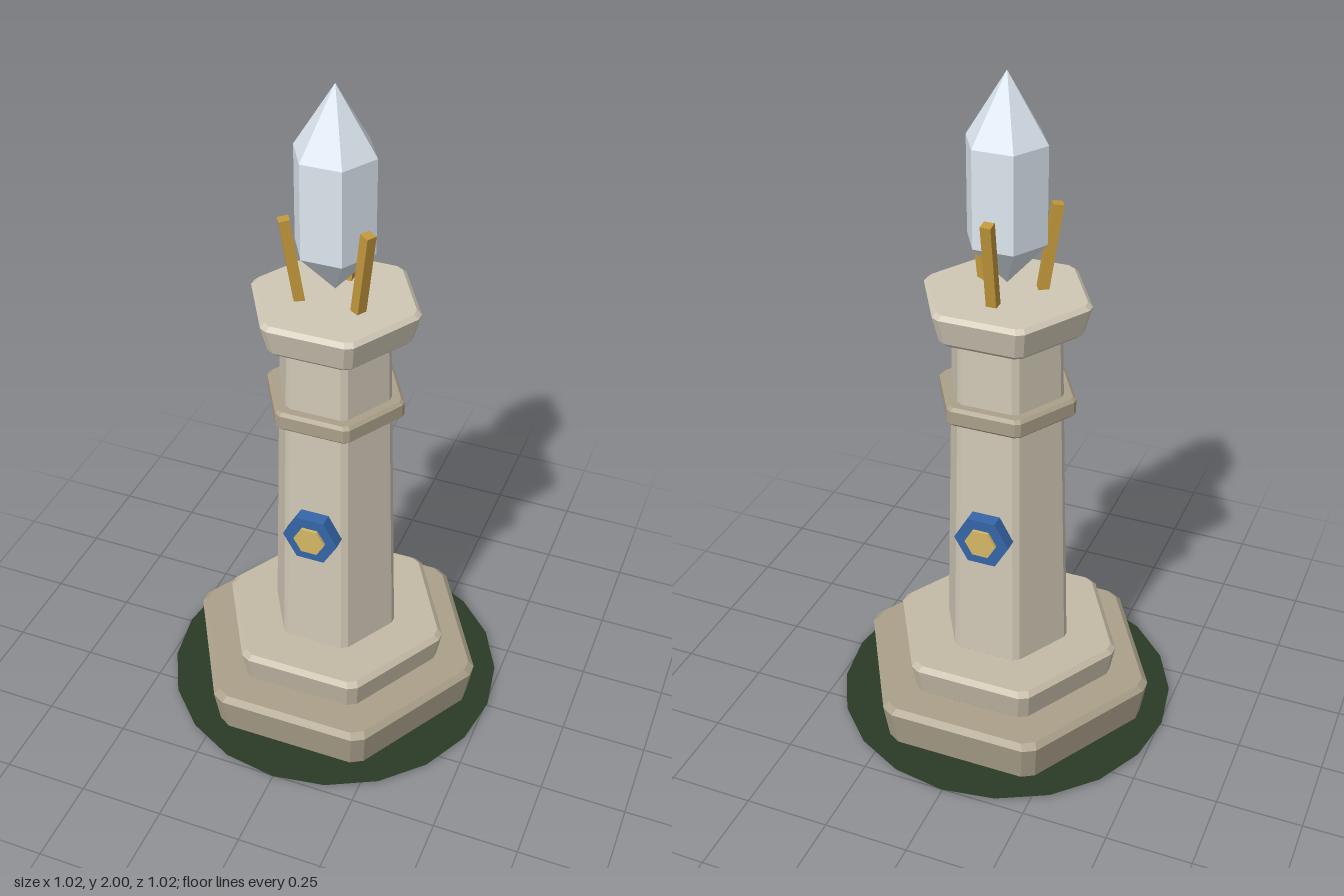
import * as THREE from 'three';

const mat = (color, extra = {}) => new THREE.MeshStandardMaterial({ color, flatShading: true, ...extra });
const paleStone = mat(0xd0c7b5);
const stone = mat(0xc3b9a5);
const darkStone = mat(0xaaa08a);
const gold = mat(0xc2983c);
const paleGold = mat(0xd6b865);
const blue = mat(0x3566a8);
const crystalMat = mat(0xdde6f0);
const grass = mat(0x2a3b25, { side: THREE.DoubleSide });

// Hexagon with clipped corners: a = distance to a flat, cut = depth of the corner clip
function hexRing(a, cut, y) {
  const half = a / Math.sqrt(3) - 2 * cut;
  const ring = [];
  for (let i = 0; i < 6; i++) {
    const t = Math.PI / 6 + (i * Math.PI) / 3;
    const nx = Math.cos(t), nz = Math.sin(t);
    for (const s of [-half, half]) ring.push([a * nx - s * nz, y, a * nz + s * nx]);
  }
  return ring;
}

// Closed solid through clipped hexagons; levels are [y, distance to flat]
function hexBlock(levels, cut) {
  const rings = levels.map(([y, a]) => hexRing(a, cut, y));
  const n = rings[0].length, pos = [];
  const tri = (...pts) => pts.forEach((p) => pos.push(...p));
  for (let k = 0; k < rings.length - 1; k++) {
    for (let i = 0; i < n; i++) {
      const j = (i + 1) % n, lo = rings[k], hi = rings[k + 1];
      tri(lo[i], hi[i], hi[j]);
      tri(lo[i], hi[j], lo[j]);
    }
  }
  const bottom = rings[0], top = rings[rings.length - 1];
  for (let i = 1; i < n - 1; i++) {
    tri(bottom[0], bottom[i], bottom[i + 1]);
    tri(top[0], top[i + 1], top[i]);
  }
  const g = new THREE.BufferGeometry();
  g.setAttribute('position', new THREE.Float32BufferAttribute(pos, 3));
  g.computeVertexNormals();
  return g;
}

// Block with bevelled top and bottom rims
const bevelled = (y0, y1, a0, a1, b, cut) =>
  hexBlock([[y0, a0 - b], [y0 + b, a0], [y1 - b, a1], [y1, a1 - b]], cut);

function add(parent, name, geometry, material) {
  const mesh = new THREE.Mesh(geometry, material);
  mesh.name = name;
  parent.add(mesh);
  return mesh;
}

export function createModel() {
  const model = new THREE.Group();
  model.name = 'crystalPillar';

  // Ground patch
  const ground = add(model, 'groundPatch', new THREE.CircleGeometry(0.508, 20), grass);
  ground.rotation.x = -Math.PI / 2;
  ground.position.y = 0.01;

  // Stone tiers, shaft, band and cap
  add(model, 'lowerStep', bevelled(0.003, 0.15, 0.383, 0.4, 0.016, 0.012), darkStone);
  add(model, 'upperStep', bevelled(0.145, 0.255, 0.294, 0.307, 0.014, 0.009), stone);
  add(model, 'shaft', bevelled(0.25, 1.3, 0.17, 0.143, 0.006, 0.006), paleStone);
  add(model, 'band', bevelled(1.035, 1.092, 0.18, 0.18, 0.009, 0.005), darkStone);
  add(model, 'cap', bevelled(1.288, 1.388, 0.197, 0.215, 0.012, 0.007), paleStone);

  // Hexagonal medallions on the front and back faces
  for (const [name, turn] of [['frontMedallion', 0], ['backMedallion', Math.PI]]) {
    const medallion = new THREE.Group();
    medallion.name = name;
    medallion.rotation.y = turn;
    const layers = [['medallionRim', 0.083, 0.15, 0.197, blue], ['medallionStud', 0.047, 0.16, 0.206, paleGold]];
    for (const [part, r, z0, z1, material] of layers) {
      const g = new THREE.CylinderGeometry(r, r, z1 - z0, 6);
      g.rotateY(Math.PI / 6).rotateX(Math.PI / 2);
      add(medallion, part, g, material).position.set(0, 0.68, (z0 + z1) / 2);
    }
    model.add(medallion);
  }

  // Three leaning prongs around the crystal
  for (let i = 0; i < 3; i++) {
    const holder = new THREE.Group();
    holder.name = 'prong' + (i + 1);
    holder.rotation.y = Math.PI + (i * 2 * Math.PI) / 3;
    const bar = add(holder, 'prongBar', new THREE.BoxGeometry(0.03, 0.27, 0.03), gold);
    bar.position.set(0, 1.5, 0.115);
    bar.rotation.x = 0.15;
    model.add(holder);
  }

  // Crystal: hexagonal prism with a point at each end
  const profile = [[0, 1.41], [0.115, 1.54], [0.115, 1.815], [0, 2]].map(([r, y]) => new THREE.Vector2(r, y));
  const crystal = new THREE.LatheGeometry(profile, 6);
  crystal.rotateY(Math.PI / 6);
  add(model, 'crystal', crystal, crystalMat);

  return model;
}
